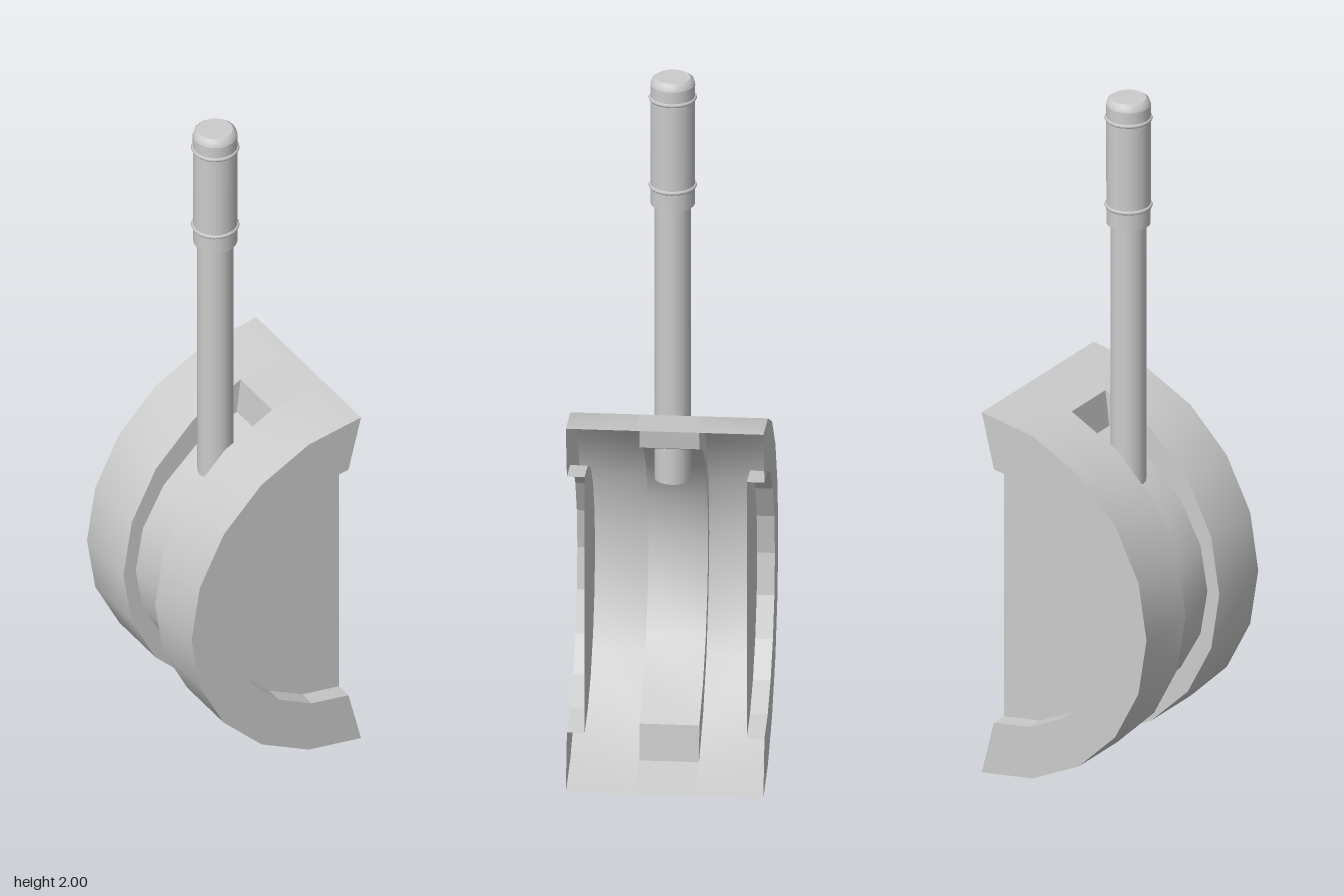
import * as THREE from 'three';

const HALF = 0.268;      // half width of the drum
const SLOT = 0.081;      // half width of the lever slot
const RECESS = 0.22;     // depth position of the end plates
const CY = 0.54;

const smoothMat = new THREE.MeshStandardMaterial({ color: 0xcccccc, side: THREE.DoubleSide });
const flatMat = new THREE.MeshStandardMaterial({ color: 0xcccccc, side: THREE.DoubleSide, flatShading: true });

// Points of a half circle opening to +x, from bottom to top, in steps of 18 degrees
function arc(cx, rx, ry, from = -5, to = 5) {
  const pts = [];
  for (let i = from; i <= to; i++) {
    const a = i * Math.PI / 10;
    pts.push(new THREE.Vector2(cx - rx * Math.cos(a), CY + ry * Math.sin(a)));
  }
  return pts;
}

// Sheet made by sweeping a profile along z
function strip(name, pts, z0, z1, material) {
  const pos = [], index = [];
  pts.forEach((p, i) => {
    pos.push(p.x, p.y, z0, p.x, p.y, z1);
    if (i) {
      const k = 2 * i - 2;
      index.push(k, k + 1, k + 3, k, k + 3, k + 2);
    }
  });
  const geo = new THREE.BufferGeometry();
  geo.setAttribute('position', new THREE.Float32BufferAttribute(pos, 3));
  geo.setIndex(index);
  geo.computeVertexNormals();
  const mesh = new THREE.Mesh(geo, material);
  mesh.name = name;
  return mesh;
}

// Flat sheet at a given z
function sheet(name, pts, z) {
  const mesh = new THREE.Mesh(new THREE.ShapeGeometry(new THREE.Shape(pts)), flatMat);
  mesh.position.z = z;
  mesh.name = name;
  return mesh;
}

export function createModel() {
  const model = new THREE.Group();
  model.name = 'leverControl';

  const outer = arc(0.27, 0.54, 0.54);
  const inner = arc(0.23, 0.38, 0.38);
  const slotTop = outer.slice(1, -1);
  const slotFloor = arc(0.235, 0.466, 0.431, -4, 4);

  // One side of the drum: curved shell, rim, recess, end plate and slot wall
  const side = new THREE.Group();
  side.name = 'drumSide';
  side.add(
    strip('drumShell', outer, SLOT, HALF, smoothMat),
    sheet('rim', [...outer, ...inner.slice().reverse()], HALF),
    strip('recessWall', inner, HALF, RECESS, flatMat),
    sheet('endPlate', inner, RECESS),
    sheet('slotWall', [...slotTop, ...slotFloor.slice().reverse()], SLOT)
  );
  const otherSide = side.clone();
  otherSide.scale.z = -1;
  model.add(side, otherSide);

  // Slot floor, its end walls, and the shell beyond the slot ends
  model.add(
    strip('slotFloor', slotFloor, -SLOT, SLOT, smoothMat),
    strip('slotEndTop', [slotFloor[8], slotTop[8]], -SLOT, SLOT, flatMat),
    strip('slotEndBottom', [slotTop[0], slotFloor[0]], -SLOT, SLOT, flatMat),
    strip('shellTop', outer.slice(-2), -SLOT, SLOT, smoothMat),
    strip('shellBottom', outer.slice(0, 2), -SLOT, SLOT, smoothMat)
  );

  // Lever: rod, grip and two grip bands
  const lever = new THREE.Group();
  lever.name = 'lever';
  lever.position.x = -0.028;
  const rod = new THREE.Mesh(new THREE.CylinderGeometry(0.049, 0.049, 0.82, 20), smoothMat);
  rod.position.y = 1.22;
  rod.name = 'rod';
  const profile = [[0, 1.625], [0.06, 1.625], [0.06, 1.625], [0.061, 1.98], [0.061, 1.98],
    [0.057, 1.993], [0.048, 2], [0.048, 2], [0, 2]].map(([r, y]) => new THREE.Vector2(r, y));
  const grip = new THREE.Mesh(new THREE.LatheGeometry(profile, 20), smoothMat);
  grip.name = 'grip';
  lever.add(rod, grip);
  for (const y of [1.68, 1.94]) {
    const band = new THREE.Mesh(new THREE.TorusGeometry(0.06, 0.006, 6, 20), smoothMat);
    band.rotation.x = Math.PI / 2;
    band.position.y = y;
    band.name = 'gripBand';
    lever.add(band);
  }
  model.add(lever);
  return model;
}
